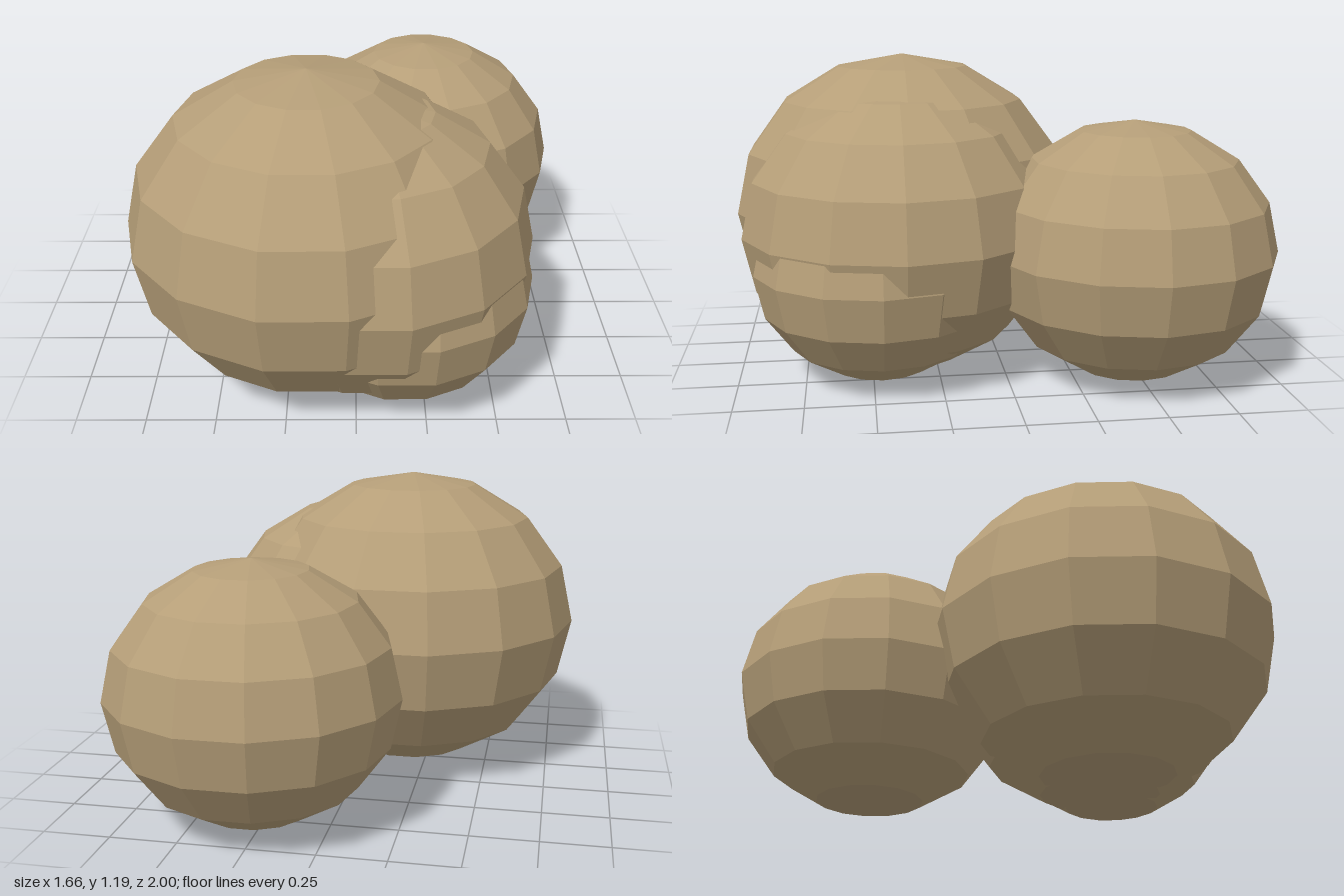
import * as THREE from 'three';

export function createModel() {
  const group = new THREE.Group();
  group.name = 'boulderCluster';
  const stone = new THREE.MeshStandardMaterial({ color: 0xb59e78 });
  stone.name = 'tan stone';

  // Faceted, slightly flattened boulder resting on the ground
  const boulder = (name, x, z, radius) => {
    const squash = 0.9;
    const geometry = new THREE.SphereGeometry(radius, 14, 8).toNonIndexed();
    geometry.scale(1, squash, 1);
    geometry.computeVertexNormals(); // one normal per facet
    const mesh = new THREE.Mesh(geometry, stone);
    mesh.name = name;
    mesh.position.set(x, radius * squash, z);
    group.add(mesh);
  };

  boulder('largeBoulder', -0.17, 0.355, 0.66);
  boulder('middleBoulder', 0.045, 0.385, 0.6);
  boulder('smallBoulder', 0.17, 0.467, 0.47);
  boulder('backBoulder', 0.285, -0.473, 0.54);

  return group;
}
